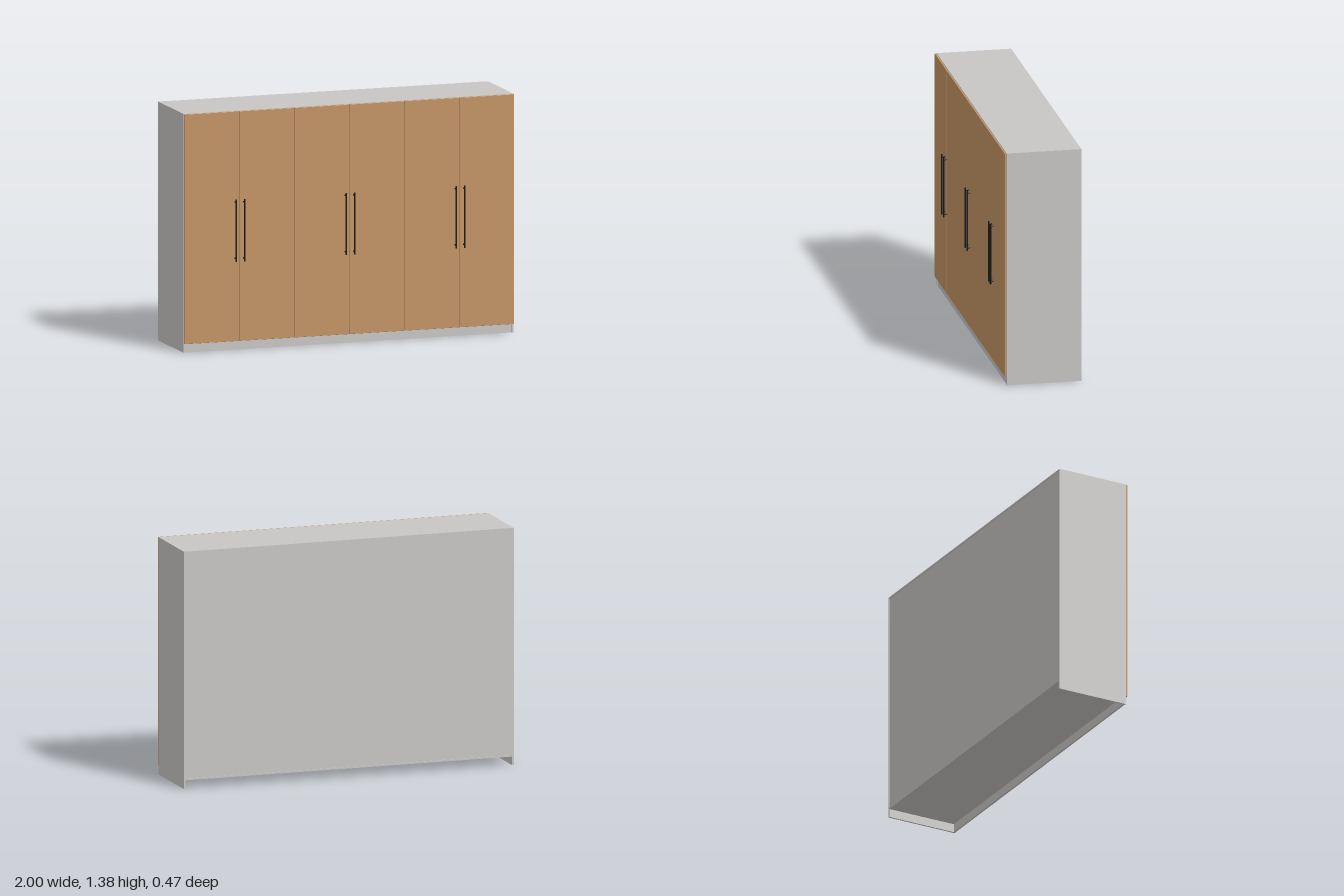
import * as THREE from 'three';
import { RoundedBoxGeometry } from 'three/addons/geometries/RoundedBoxGeometry.js';

export function createModel() {
  const model = new THREE.Group();
  model.name = 'wardrobe';
  const material = (name, color) => {
    const m = new THREE.MeshStandardMaterial({ color });
    m.name = name;
    return m;
  };
  const grey = material('lightGreyBoard', 0xc8c6c4);
  const wood = material('warmWood', 0xc29464);
  const black = material('blackMetal', 0x15171a);

  // Overall sizes
  const H = 1.385, BACK = -0.235, FRONT = 0.2, T = 0.01, BASE = 0.05;
  const depth = FRONT - BACK, midZ = (FRONT + BACK) / 2, inner = 2 - 2 * T;

  const add = (name, geometry, mat, x, y, z, parent = model) => {
    const mesh = new THREE.Mesh(geometry, mat);
    mesh.name = name;
    mesh.position.set(x, y, z);
    parent.add(mesh);
    return mesh;
  };
  const box = (name, mat, w, h, d, x, y, z, parent) =>
    add(name, new THREE.BoxGeometry(w, h, d), mat, x, y, z, parent);

  // Carcass: sides reach the floor, top and bottom fit between them
  for (const s of [-1, 1])
    box(s > 0 ? 'leftSide' : 'rightSide', grey, T, H, depth, s * (1 - T / 2), H / 2, midZ);
  box('topPanel', grey, inner, T, depth, 0, H - T / 2, midZ);
  box('bottomPanel', grey, inner, T, depth, 0, BASE + T / 2, midZ);
  box('backPanel', grey, inner, H - BASE - 2 * T, 0.006, 0, (H + BASE) / 2, BACK + 0.007);
  box('plinth', grey, inner, BASE, T, 0, BASE / 2, FRONT - T / 2 - 0.003);

  // Inner dividers between the three pairs of doors
  for (const x of [-1 / 3, 1 / 3])
    box('divider', grey, T, H - BASE - 2 * T, depth - 0.02, x, (H + BASE) / 2, midZ);

  // Six doors with softly rounded edges
  const doorW = 1 / 3, gap = 0.003, doorT = 0.01;
  const doorGeo = new RoundedBoxGeometry(doorW - gap, H - BASE - 0.002, doorT, 2, 0.002);
  for (let i = 0; i < 6; i++)
    add('door', doorGeo, wood, -1 + doorW * (i + 0.5), (H + BASE) / 2, FRONT + 0.002 + doorT / 2);

  // Bar handles, one on each side of every pair's seam
  const doorFace = FRONT + 0.002 + doorT, barZ = 0.232;
  const barGeo = new THREE.CylinderGeometry(0.0045, 0.0045, 0.36, 12);
  const postGeo = new THREE.CylinderGeometry(0.004, 0.004, barZ - doorFace, 10);
  postGeo.rotateX(Math.PI / 2);
  for (const seam of [-2 / 3, 0, 2 / 3]) {
    for (const s of [-1, 1]) {
      const handle = new THREE.Group();
      handle.name = 'handle';
      handle.position.set(seam + s * 0.026, 0.695, 0);
      add('handleBar', barGeo, black, 0, 0, barZ, handle);
      for (const y of [-0.163, 0.163])
        add('handlePost', postGeo, black, 0, y, (barZ + doorFace) / 2, handle);
      model.add(handle);
    }
  }
  return model;
}
